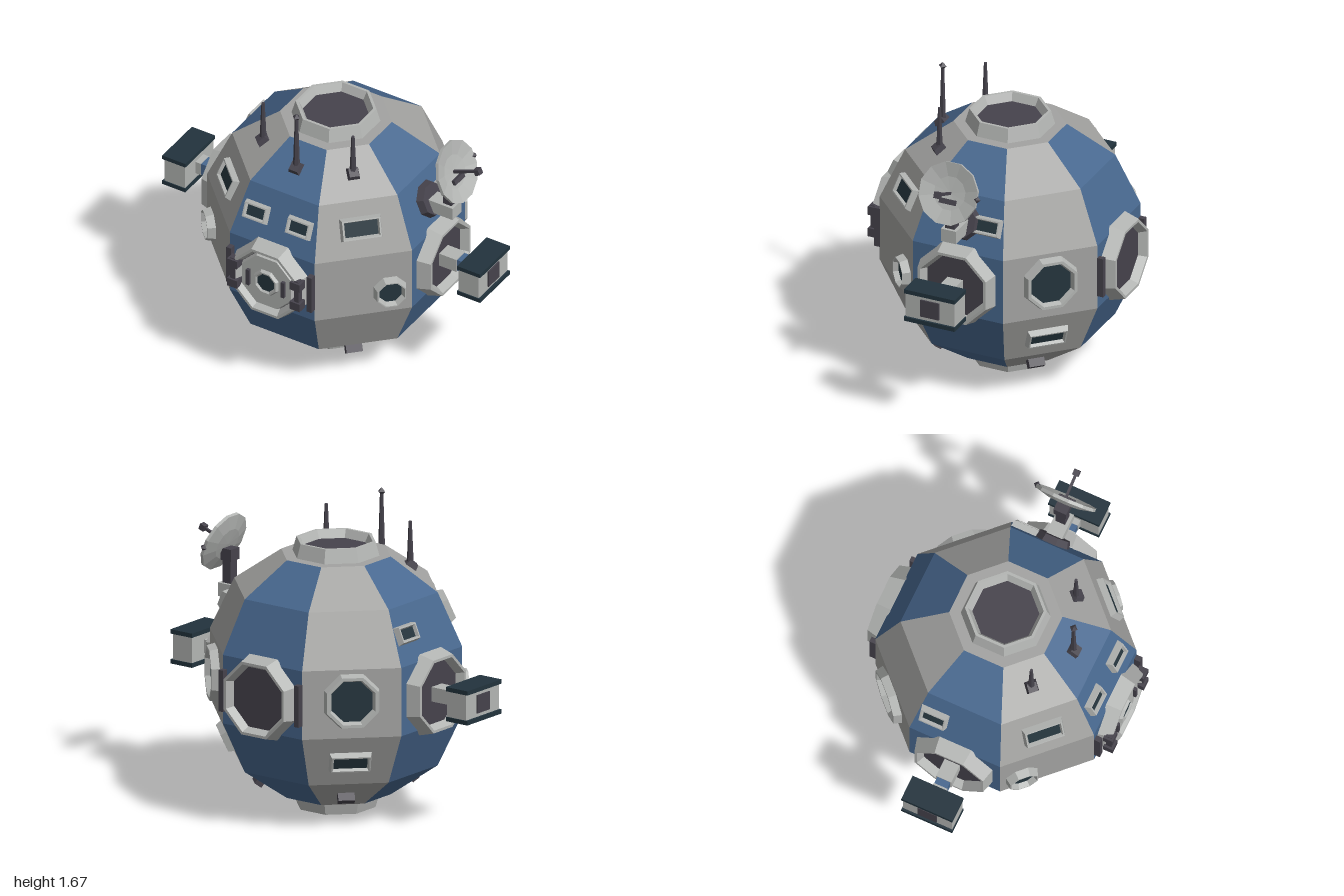
import * as THREE from 'three';

const mat = (name, color) => {
  const m = new THREE.MeshStandardMaterial({ color });
  m.name = name;
  return m;
};

export function createModel() {
  const grey = mat('hull grey', 0xa3a3a1);
  const blue = mat('hull blue', 0x48688f);
  const light = mat('trim grey', 0xb3b5b3);
  const dark = mat('dark metal', 0x46434c);
  const glass = mat('glass', 0x24343c);
  const navy = mat('dark panel', 0x22333d);
  const model = new THREE.Group();
  model.name = 'spacePod';
  const C8 = Math.cos(Math.PI / 8);

  // Adds a faceted mesh
  function add(parent, name, geo, material, x = 0, y = 0, z = 0) {
    const g = geo.index ? geo.toNonIndexed() : geo;
    g.computeVertexNormals();
    const mesh = new THREE.Mesh(g, material);
    mesh.name = name;
    mesh.position.set(x, y, z);
    parent.add(mesh);
    return mesh;
  }
  const box = (w, h, d) => new THREE.BoxGeometry(w, h, d);

  // Turned part along +z with n flat sides; points are [apothem, height]
  function turned(points, n = 8, stretch = 0) {
    const k = Math.cos(Math.PI / n);
    const pts = points.map(([r, h]) => new THREE.Vector2(r / k, h));
    const g = new THREE.LatheGeometry(pts, n, Math.PI / n).rotateX(Math.PI / 2);
    const p = g.attributes.position;
    for (let i = 0; i < p.count; i++) p.setX(i, p.getX(i) + Math.sign(p.getX(i)) * stretch);
    return g;
  }

  // Group on the hull whose +z points out of the surface
  function mount(name, az, pitch, r, y, off = 0) {
    const g = new THREE.Group();
    g.name = name;
    g.rotation.set(-pitch, az, 0, 'YXZ');
    g.position.set(Math.sin(az) * r + Math.cos(az) * off, y, Math.cos(az) * r - Math.sin(az) * off);
    model.add(g);
    return g;
  }
  const Q = Math.PI / 4;
  const SLOPE = Math.atan2(0.125, 0.29);
  const STEEP = Math.atan2(0.24, 0.18);

  // Hull: eight strips, alternately blue and grey, with flat caps
  const profile = [[0.28, 0.08], [0.52, 0.26], [0.645, 0.55], [0.645, 0.93], [0.52, 1.22], [0.28, 1.4]]
    .map(([r, y]) => new THREE.Vector2(r / C8, y));
  for (let i = 0; i < 8; i++) {
    add(model, 'hullStrip', new THREE.LatheGeometry(profile, 1, i * Q - Q / 2, Q), i % 2 ? grey : blue);
  }
  for (const [y, s] of [[1.4, -1], [0.08, 1]]) {
    const cap = new THREE.CircleGeometry(0.28 / C8, 8, Math.PI / 8).rotateX(s * Math.PI / 2);
    add(model, 'hullCap', cap, grey, 0, y, 0);
  }

  // Docking rings on all six sides
  function hatch(name, az, pitch, r, y) {
    const g = mount(name, az, pitch, r, y);
    add(g, 'ring', turned([[0.225, -0.01], [0.202, 0.077], [0.187, 0.077], [0.165, 0.03]]), light);
    add(g, 'hatchFloor', turned([[0.167, 0.032], [0, 0.032]]), dark);
    return g;
  }
  const front = hatch('frontHatch', 0, 0, 0.645, 0.74);
  const back = hatch('backHatch', 4 * Q, 0, 0.645, 0.74);
  const sides = [hatch('leftPort', 2 * Q, 0, 0.645, 0.74), hatch('rightPort', -2 * Q, 0, 0.645, 0.74)];
  hatch('topHatch', 0, Math.PI / 2, 0, 1.4);
  hatch('bottomHatch', 0, -Math.PI / 2, 0, 0.08);

  // Front door with porthole and handles
  add(front, 'door', turned([[0.165, 0.03], [0.155, 0.058], [0, 0.058]]), light);
  add(front, 'portholeRim', turned([[0.078, 0.055], [0.068, 0.075], [0.06, 0.075], [0.05, 0.064]]), light);
  add(front, 'portholeGlass', turned([[0.052, 0.065], [0, 0.065]]), glass);
  for (const s of [-1, 1]) {
    add(front, 'handle', box(0.02, 0.1, 0.02), dark, s * 0.11, 0, 0.066);
    for (const g of [front, back]) add(g, 'latchPlate', box(0.03, 0.23, 0.04), dark, s * 0.253, 0, 0.015);
    // Hinge knuckles
    add(front, 'hingeBar', box(0.03, 0.19, 0.035), dark, s * 0.2, 0, 0.062);
    for (const t of [-1, 1]) add(front, 'hingeKnuckle', box(0.062, 0.05, 0.055), dark, s * 0.197, t * 0.065, 0.063);
  }

  // Side thruster pods on short arms
  for (const g of sides) {
    add(g, 'armRoot', box(0.09, 0.08, 0.12), light, 0, 0, 0.08);
    add(g, 'armBand', box(0.075, 0.07, 0.05), blue, 0, 0, 0.163);
    add(g, 'armTip', box(0.08, 0.075, 0.04), light, 0, 0, 0.2);
    add(g, 'podCore', box(0.29, 0.15, 0.128), light, 0, 0, 0.279);
    add(g, 'podSocket', box(0.11, 0.1, 0.014), dark, 0, 0, 0.344);
    for (const s of [-1, 1]) add(g, 'podPlate', box(0.3, 0.024, 0.145), navy, 0, s * 0.083, 0.2825);
  }

  // Rectangular windows
  function rectWindow(az, pitch, r, y, off, w, h) {
    const g = mount('rectWindow', az, pitch, r, y, off);
    const a = h / 2, stretch = (w - h) / 2;
    add(g, 'frame', turned([[a, -0.005], [a - 0.01, 0.035], [a - 0.018, 0.035], [a - 0.025, 0.015]], 4, stretch), light);
    add(g, 'pane', box(w - 0.046, h - 0.046, 0.006), glass, 0, 0, 0.014);
  }
  for (const s of [-1, 1]) {
    rectWindow(0, SLOPE, 0.58, 1.08, s * 0.135, 0.155, 0.105);
    rectWindow(s * 2 * Q, SLOPE, 0.58, 1.08, s * 0.15, 0.165, 0.105);
    rectWindow(s * Q, SLOPE, 0.58, 1.08, 0, 0.23, 0.13);
    rectWindow(s * 3 * Q, -SLOPE, 0.582, 0.405, 0, 0.23, 0.12);
  }

  // Octagonal windows on the grey strips
  function roundWindow(az, y, off, r, pane) {
    const g = mount('roundWindow', az, 0, 0.645, y, off);
    add(g, 'rim', turned([[r, -0.005], [r - 0.012, 0.045], [pane + 0.012, 0.045], [pane, 0.015]]), light);
    add(g, 'pane', turned([[pane + 0.002, 0.016], [0, 0.016]]), glass);
  }
  for (const s of [-1, 1]) {
    roundWindow(s * Q, 0.685, s * 0.145, 0.09, 0.06);
    roundWindow(s * 3 * Q, 0.757, 0, 0.15, 0.11);
    // Small vents under each grey strip
    for (const k of [1, 3]) {
      const vent = mount('vent', s * k * Q, -STEEP, 0.4, 0.17);
      add(vent, 'ventBox', box(0.09, 0.045, 0.06), dark, 0, 0, 0.015);
    }
  }

  // Antennas
  for (const [az, top] of [[-Q, 1.56], [0, 1.65], [Q, 1.56]]) {
    const r = 0.4, x = Math.sin(az) * r, z = Math.cos(az) * r;
    const foot = mount('antennaFoot', az, STEEP, r, 1.31);
    add(foot, 'footBlock', turned([[0.036, -0.01], [0.026, 0.03], [0, 0.03]], 4), dark);
    add(model, 'antennaRod', new THREE.CylinderGeometry(0.009, 0.019, top - 1.32, 6), dark, x, (top + 1.32) / 2, z);
    if (az === 0) add(model, 'antennaTip', new THREE.OctahedronGeometry(0.023), dark, x, top, z);
  }

  // Dish support on the left side
  const base = mount('dishBase', 2 * Q, SLOPE, 0.58, 1.08);
  add(base, 'basePlate', turned([[0.1, -0.01], [0.085, 0.04], [0, 0.04]]), dark);
  add(model, 'dishArm', box(0.17, 0.075, 0.09), light, 0.677, 1.075, 0);
  add(model, 'dishPost', box(0.055, 0.14, 0.055), dark, 0.717, 1.175, 0);
  add(model, 'dishPivot', box(0.07, 0.065, 0.075), dark, 0.715, 1.272, 0);

  // Shallow dish with feed horn
  const dish = new THREE.Group();
  dish.name = 'dish';
  dish.position.set(0.75, 1.33, 0);
  dish.rotation.set(-0.385, Math.PI / 2, 0, 'YXZ');
  model.add(dish);
  add(dish, 'reflector', turned([[0, -0.025], [0.09, -0.02], [0.168, 0], [0.168, 0.018], [0.09, -0.003], [0, -0.01]], 12), light);
  add(dish, 'feedRod', box(0.014, 0.014, 0.16), dark, 0, 0, 0.07);
  add(dish, 'feedHead', box(0.034, 0.034, 0.032), dark, 0, 0, 0.155);
  add(dish, 'feedBox', box(0.095, 0.026, 0.02), dark, 0, -0.045, 0.004);
  add(dish, 'rimKnob', new THREE.OctahedronGeometry(0.02), dark, 0.17, 0, 0.012);

  return model;
}
